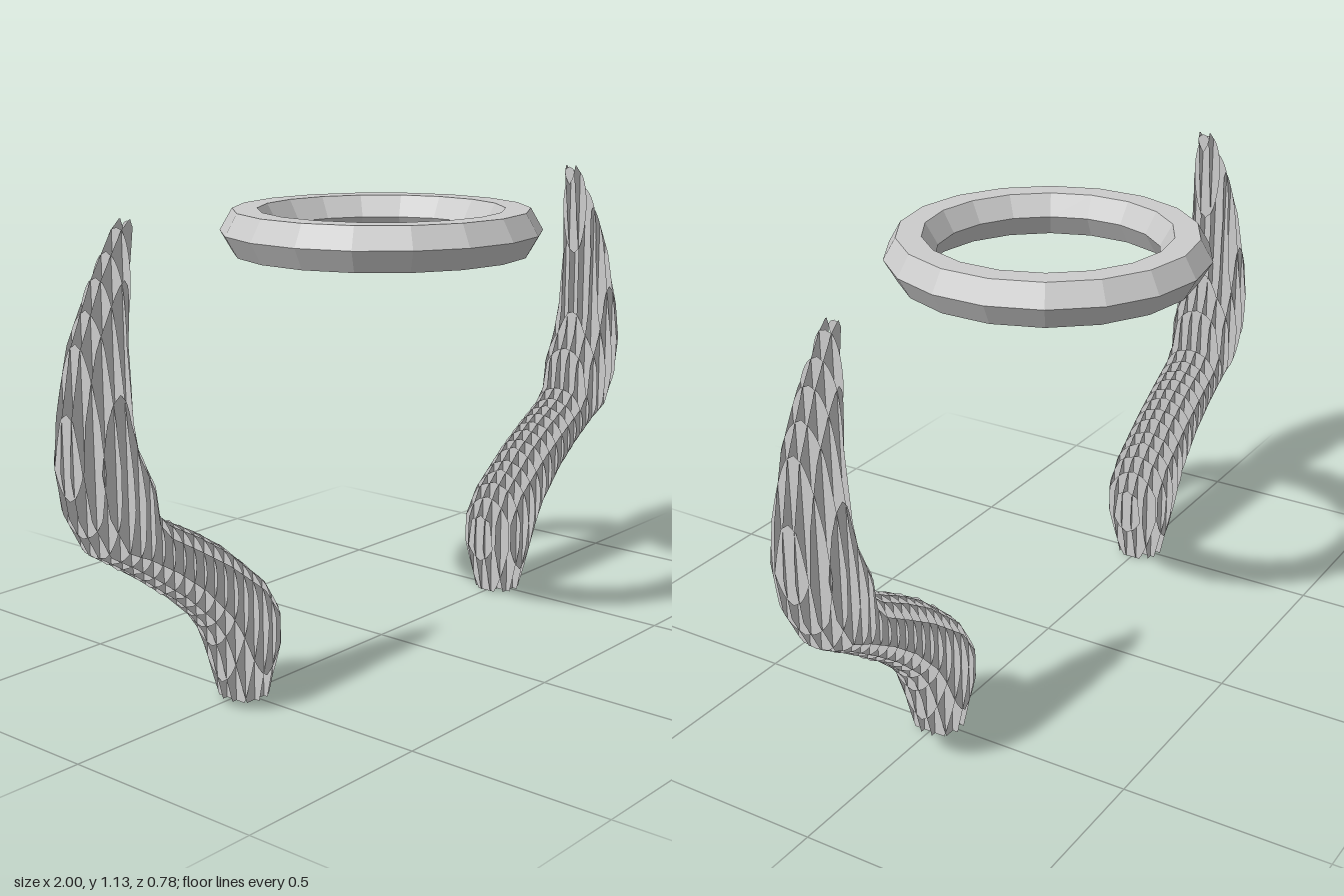
import * as THREE from 'three';
import { mergeGeometries } from 'three/addons/utils/BufferGeometryUtils.js';

// Horn stations, base to tip: inner x, inner y, outer x, outer y, half depth
const STATIONS = [
  [0.445, 0, 0.555, 0, 0.06],
  [0.41, 0.13, 0.59, 0.125, 0.088],
  [0.415, 0.205, 0.613, 0.18, 0.095],
  [0.46, 0.28, 0.645, 0.222, 0.092],
  [0.575, 0.38, 0.72, 0.29, 0.085],
  [0.66, 0.435, 0.80, 0.35, 0.083],
  [0.745, 0.48, 0.88, 0.405, 0.084],
  [0.78, 0.51, 0.935, 0.44, 0.092],
  [0.79, 0.58, 0.983, 0.53, 0.099],
  [0.83, 0.66, 1.0, 0.63, 0.094],
  [0.84, 0.72, 0.992, 0.74, 0.083],
  [0.84, 0.885, 0.963, 0.88, 0.063],
  [0.82, 1.02, 0.905, 1.01, 0.045],
  [0.805, 1.115, 0.845, 1.11, 0.024],
  [0.812, 1.13, 0.822, 1.13, 0.017],
];
const STEPS = 10;

// Finely interpolated stations along the horn
function sampleStations() {
  const out = [];
  for (let i = 0; i < STATIONS.length - 1; i++) {
    for (let k = 0; k < STEPS; k++) {
      out.push(STATIONS[i].map((v, j) => THREE.MathUtils.lerp(v, STATIONS[i + 1][j], k / STEPS)));
    }
  }
  out.push(STATIONS[STATIONS.length - 1]);
  return out;
}

// Flat strip from rows of { a, b, open }; closed rows have no width
function strip(rows) {
  const pos = [];
  const index = [];
  rows.forEach(({ a, b, open }, i) => {
    pos.push(...a, ...b);
    if (i === 0 || !(open || rows[i - 1].open)) return;
    const n = i * 2;
    index.push(n - 2, n - 1, n + 1, n - 2, n + 1, n);
  });
  const g = new THREE.BufferGeometry();
  g.setAttribute('position', new THREE.Float32BufferAttribute(pos, 3));
  g.setIndex(index);
  g.computeVertexNormals();
  return g;
}

const round = (s) => Math.sqrt(Math.max(0, 1 - s * s));

// Card parallel to the front, cut through the horn at depth z
function frontCard(samples, side, z) {
  return strip(samples.map(([ix, iy, ox, oy, d]) => {
    const w = round(z / d) / 2;
    const at = (t) => [side * THREE.MathUtils.lerp(ix, ox, t), THREE.MathUtils.lerp(iy, oy, t), z];
    return { a: at(0.5 - w), b: at(0.5 + w), open: w > 0 };
  }));
}

// Card parallel to the side, cut through the horn at x
function sideCard(samples, side, x) {
  return strip(samples.map(([ix, iy, ox, oy, d]) => {
    const t = THREE.MathUtils.clamp((x - ix) / (ox - ix), 0, 1);
    const y = THREE.MathUtils.lerp(iy, oy, t);
    const h = d * round(2 * t - 1);
    return { a: [side * x, y, h], b: [side * x, y, -h], open: h > 0 };
  }));
}

export function createModel() {
  const group = new THREE.Group();
  const grey = new THREE.MeshStandardMaterial({ color: 0xcccccc, side: THREE.DoubleSide, flatShading: true });
  grey.name = 'light grey';

  // Horns made of crossed paper-thin cards
  const samples = sampleStations();
  for (const side of [1, -1]) {
    const horn = new THREE.Group();
    horn.name = side > 0 ? 'leftHorn' : 'rightHorn';

    const frontCards = [];
    for (let i = 0; i < 6; i++) frontCards.push(frontCard(samples, side, -0.075 + i * 0.03));
    const sideCards = [];
    for (let i = 0; i < 20; i++) sideCards.push(sideCard(samples, side, 0.42 + i * 0.03));

    const front = new THREE.Mesh(mergeGeometries(frontCards), grey);
    front.name = 'hornFrontCards';
    const across = new THREE.Mesh(mergeGeometries(sideCards), grey);
    across.name = 'hornSideCards';
    horn.add(front, across);
    group.add(horn);
  }

  // Faceted ring floating between the horn tips
  const ring = new THREE.TorusGeometry(0.328, 0.0606, 6, 18);
  ring.rotateX(Math.PI / 2);
  ring.rotateY(Math.PI / 2);
  const halo = new THREE.Mesh(ring, grey);
  halo.name = 'halo';
  halo.position.y = 1.031;
  group.add(halo);

  return group;
}
